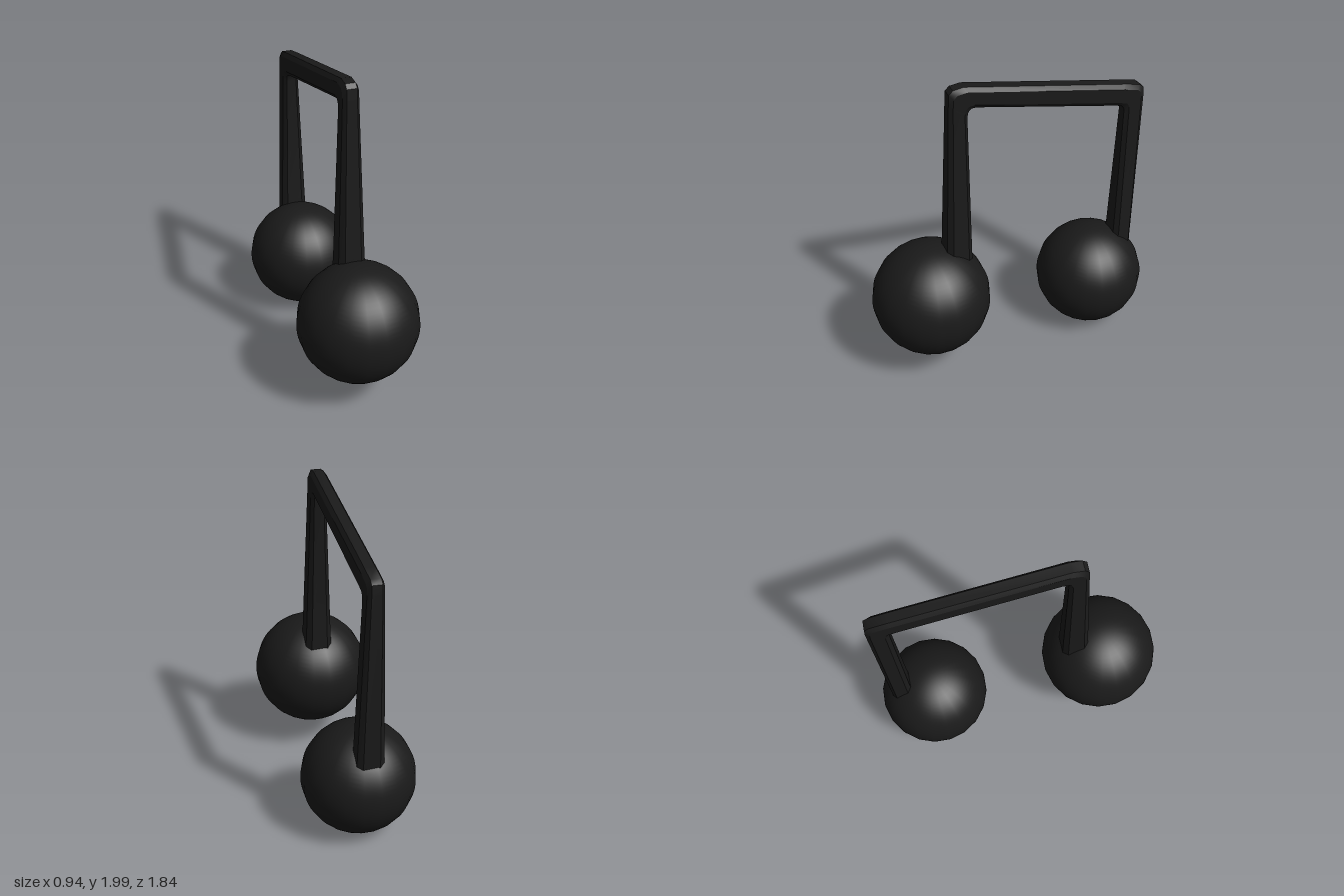
import * as THREE from 'three';
import { toCreasedNormals } from 'three/addons/utils/BufferGeometryUtils.js';

const material = new THREE.MeshStandardMaterial({ color: 0x1a1a1a });

// The frame lies in an upright plane turned slightly about y: x follows z.
const SLOPE = 0.195;
const planeX = (z) => 0.056 + (z - 0.33) * SLOPE;
const across = new THREE.Vector3(1, 0, -SLOPE).normalize();

// Chamfered square section, in -1..1
const C = 0.62;
const section = [[1, -C], [1, C], [C, 1], [-C, 1], [-1, C], [-1, -C], [-C, -1], [C, -1]];

// Stations along the frame: inner z, inner y, outer z, outer y, width
const stations = [
  [0.280, 0.68, 0.460, 0.68, 0.19],   // front stem foot
  [0.278, 0.86, 0.437, 0.90, 0.165],
  [0.275, 1.80, 0.385, 1.90, 0.10],   // front corner
  [0.268, 1.832, 0.380, 1.965, 0.10],
  [0.250, 1.85, 0.355, 1.99, 0.10],
  [0.220, 1.852, 0.290, 1.998, 0.10],
  [-0.680, 1.645, -0.730, 1.782, 0.10], // rear corner
  [-0.722, 1.63, -0.830, 1.758, 0.10],
  [-0.733, 1.612, -0.858, 1.735, 0.10],
  [-0.735, 1.58, -0.862, 1.68, 0.10],
  [-0.714, 0.70, -0.838, 0.61, 0.165], // rear stem foot
  [-0.695, 0.50, -0.835, 0.46, 0.18],
];

function loftFrame() {
  const positions = [], index = [], n = section.length;
  for (const [zi, yi, zo, yo, width] of stations) {
    const inner = new THREE.Vector3(planeX(zi), yi, zi);
    const outer = new THREE.Vector3(planeX(zo), yo, zo);
    for (const [a, b] of section) {
      const p = inner.clone().lerp(outer, (a + 1) / 2).addScaledVector(across, b * width / 2);
      positions.push(p.x, p.y, p.z);
    }
  }
  for (let i = 0; i < stations.length - 1; i++) {
    for (let j = 0; j < n; j++) {
      const a = i * n + j, b = i * n + (j + 1) % n;
      index.push(a, b, b + n, a, b + n, a + n);
    }
  }
  const geometry = new THREE.BufferGeometry();
  geometry.setAttribute('position', new THREE.Float32BufferAttribute(positions, 3));
  geometry.setIndex(index);
  return toCreasedNormals(geometry, 0.5);
}

export function createModel() {
  const group = new THREE.Group();
  group.name = 'musicNote';

  const add = (name, geometry, x = 0, y = 0, z = 0) => {
    const mesh = new THREE.Mesh(geometry, material);
    mesh.name = name;
    mesh.position.set(x, y, z);
    group.add(mesh);
  };

  // Two stems joined by a sloping beam
  add('stemsAndBeam', loftFrame());

  // Round note heads
  add('frontNoteHead', new THREE.SphereGeometry(0.377, 20, 40), 0.093, 0.52, 0.54);
  add('rearNoteHead', new THREE.SphereGeometry(0.352, 20, 40), -0.123, 0.357, -0.57);

  return group;
}
